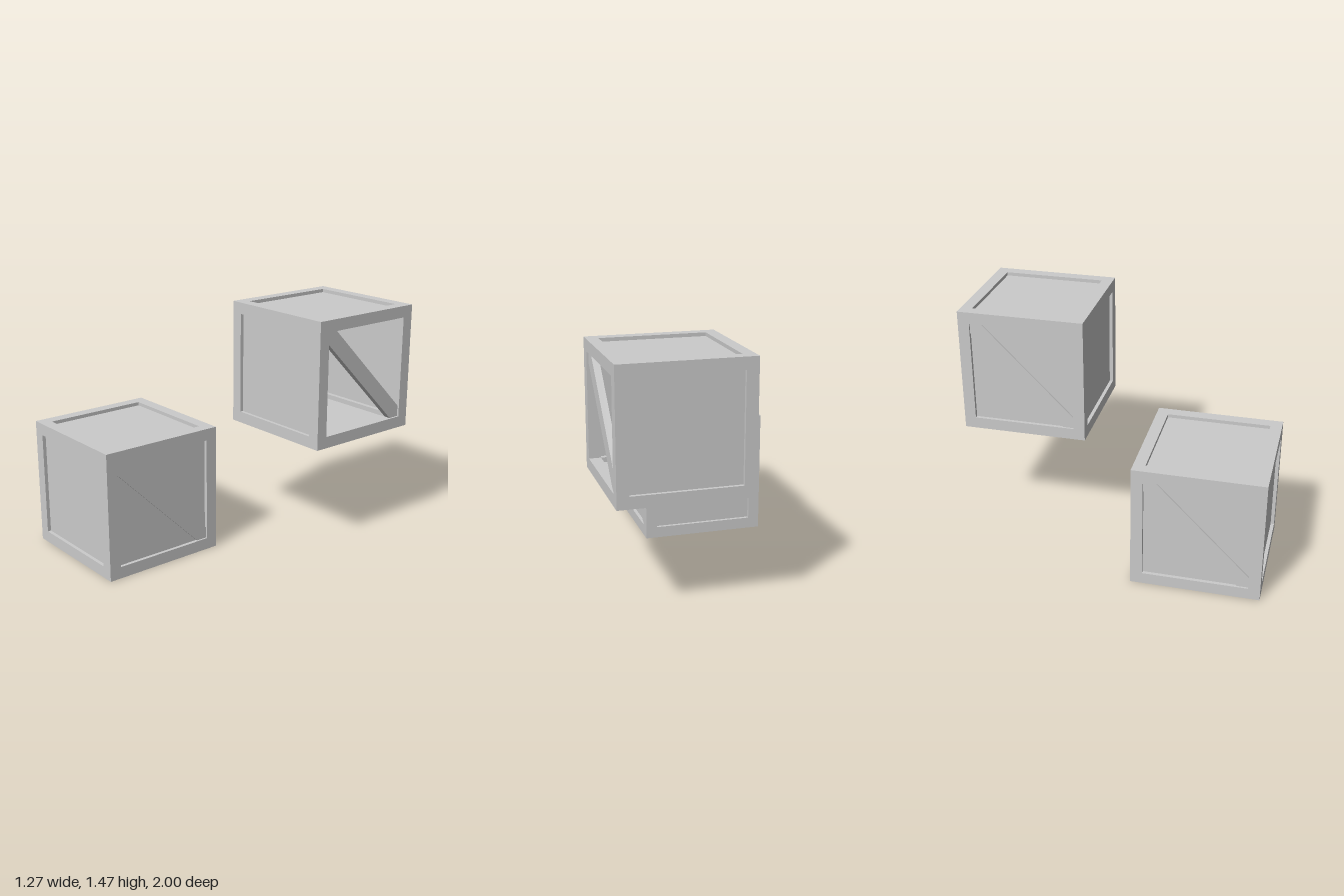
import * as THREE from 'three';

const S = 0.796, H = S / 2;      // crate size
const BAR = 0.073;               // frame bar thickness
const IN = H - BAR;              // half width of each opening
const RECESS = 0.022, PANEL = 0.02;

const mat = new THREE.MeshStandardMaterial({ color: 0xcccccc, flatShading: true });

function add(parent, name, geometry, x = 0, y = 0, z = 0) {
  const m = new THREE.Mesh(geometry, mat);
  m.name = name;
  m.position.set(x, y, z);
  parent.add(m);
  return m;
}

// Diagonal board with ends cut to fit the corners of the opening
function braceGeometry() {
  const c = 0.07, depth = 0.042;
  const shape = new THREE.Shape([
    [-IN, IN], [-IN, IN - c], [IN - c, -IN], [IN, -IN], [IN, c - IN], [c - IN, IN],
  ].map(([x, y]) => new THREE.Vector2(x, y)));
  return new THREE.ExtrudeGeometry(shape, { depth, bevelEnabled: false })
    .translate(0, 0, H - 0.012 - depth);
}

function createCrate(name, openSide) {
  const crate = new THREE.Group();
  crate.name = name;

  // Twelve square frame bars
  const e = H - BAR / 2;
  for (const a of [-e, e]) {
    for (const b of [-e, e]) {
      add(crate, 'framePost', new THREE.BoxGeometry(BAR, S, BAR), a, 0, b);
      add(crate, 'frameRailAcross', new THREE.BoxGeometry(2 * IN, BAR, BAR), 0, a, b);
      add(crate, 'frameRailDeep', new THREE.BoxGeometry(BAR, BAR, 2 * IN), a, b, 0);
    }
  }

  // Recessed panels, with braces on the two sides
  const panel = new THREE.BoxGeometry(2 * IN + 0.02, 2 * IN + 0.02, PANEL)
    .translate(0, 0, H - RECESS - PANEL / 2);
  const brace = braceGeometry();
  const q = Math.PI / 2;
  const faces = [
    ['frontPanel', 0, 0], ['backPanel', 0, 2 * q],
    ['leftPanel', 0, q], ['rightPanel', 0, -q],
    ['topPanel', -q, 0], ['bottomPanel', q, 0],
  ];
  for (const [label, rx, ry] of faces) {
    if (label !== openSide) add(crate, label, panel).rotation.set(rx, ry, 0);
    if (Math.abs(ry) === q) add(crate, 'diagonalBrace', brace).rotation.set(0, ry, 0);
  }
  return crate;
}

export function createModel() {
  const model = new THREE.Group();
  model.name = 'crates';

  const lower = createCrate('lowerCrate');
  lower.position.set(-0.236, H, 0.602);

  // The upper crate has its left side open behind the brace
  const upper = createCrate('upperCrate', 'leftPanel');
  upper.position.set(0.236, 1.075, -0.602);

  model.add(lower, upper);
  return model;
}
